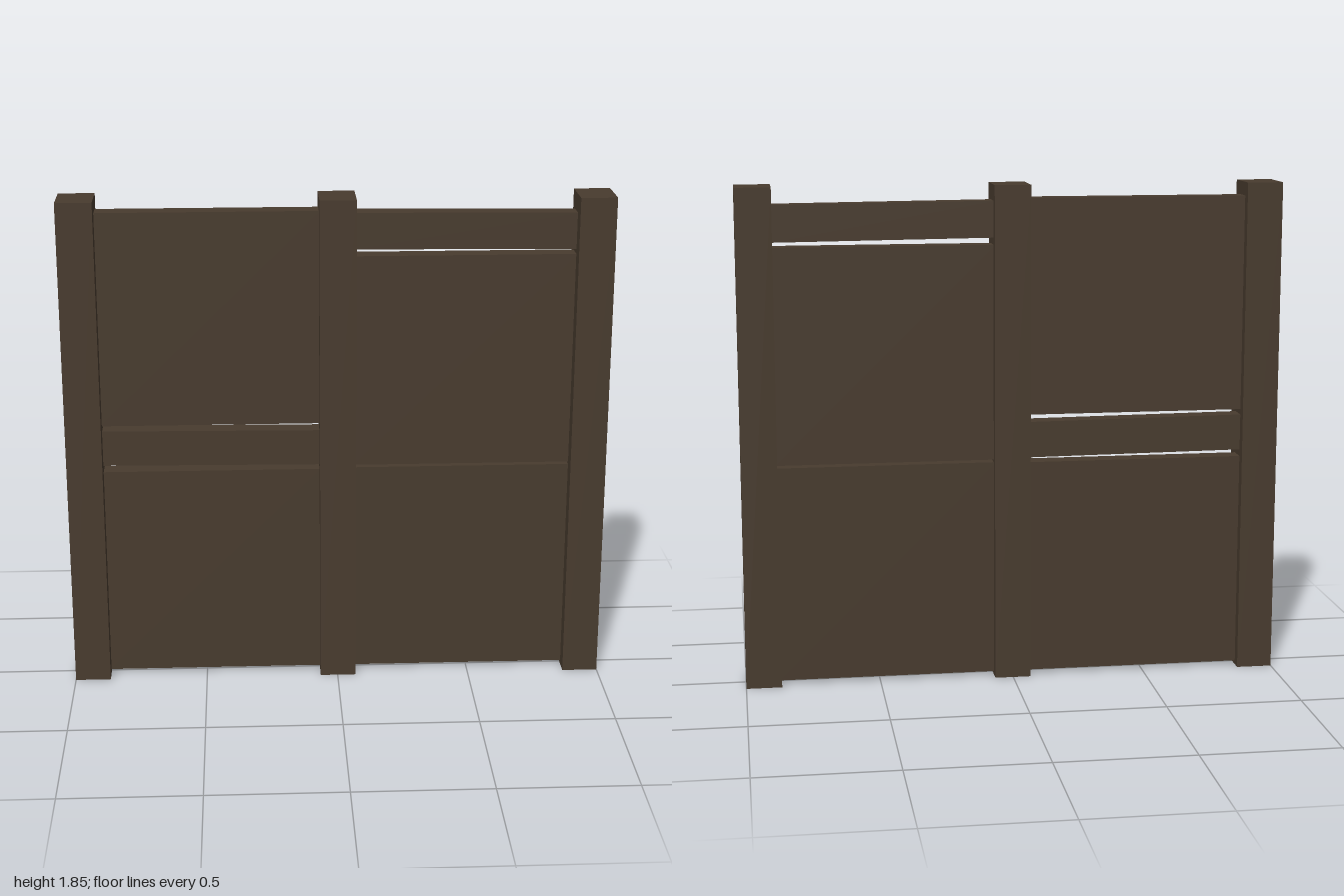
import * as THREE from 'three';

export function createModel() {
  const group = new THREE.Group();
  const wood = new THREE.MeshStandardMaterial({ color: 0x483b2e });
  wood.name = 'darkWood';

  // box given by its x, y and z limits, optionally tilted about z
  function addBox(name, [x0, x1], [y0, y1], [z0, z1], tilt = 0) {
    const mesh = new THREE.Mesh(new THREE.BoxGeometry(x1 - x0, y1 - y0, z1 - z0), wood);
    mesh.name = name;
    mesh.position.set((x0 + x1) / 2, (y0 + y1) / 2, (z0 + z1) / 2);
    mesh.rotation.z = tilt;
    group.add(mesh);
  }

  // upright posts
  const postDepth = [-0.083, 0.083];
  addBox('rightPost', [-1, -0.868], [0, 1.85], postDepth);
  addBox('middlePost', [-0.065, 0.068], [0, 1.85], postDepth);
  addBox('leftPost', [0.868, 1], [0, 1.85], postDepth);

  // panels and slightly crooked rails between the posts
  const boardDepth = [-0.046, 0.024];
  const rightBay = [-0.875, -0.06];
  const leftBay = [0.06, 0.875];
  const tilt = -0.009;
  addBox('rightLowerPanel', rightBay, [0.015, 0.82], boardDepth);
  addBox('rightRail', rightBay, [0.842, 0.976], boardDepth, tilt);
  addBox('rightUpperPanel', rightBay, [1.0, 1.8], boardDepth);
  addBox('leftLowerPanel', leftBay, [0.015, 0.824], boardDepth);
  addBox('leftUpperPanel', leftBay, [0.834, 1.632], boardDepth);
  addBox('leftRail', leftBay, [1.654, 1.788], boardDepth, tilt);

  return group;
}
